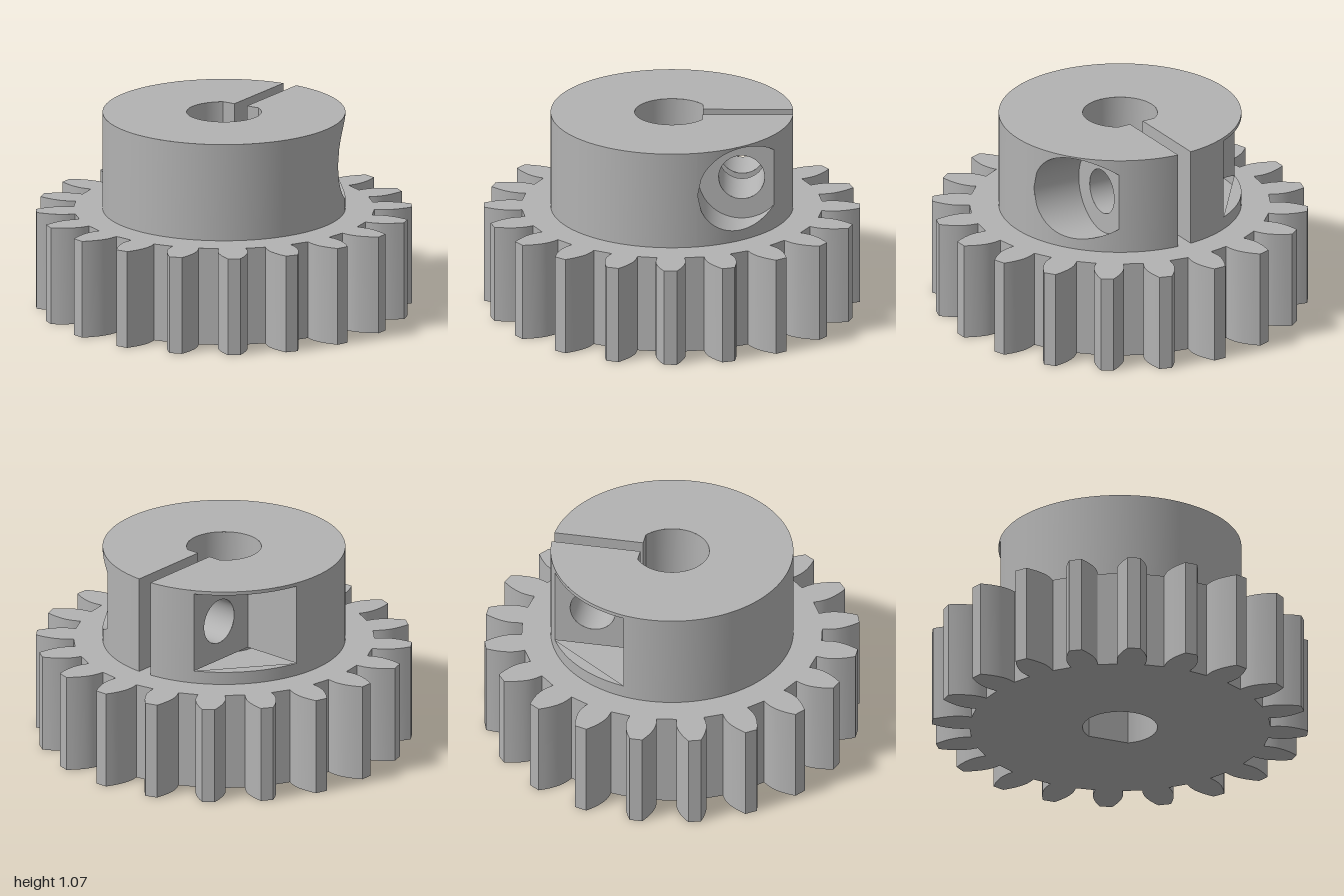
import * as THREE from 'three';
import { toCreasedNormals } from 'three/addons/utils/BufferGeometryUtils.js';

// Main sizes. Local frame: x runs along the clamp slit, z along the screw.
const GEAR_H = 0.535, TOP = 1.07, HUB_R = 0.65, BORE_R = 0.2, FLAT = 0.165;
const SLIT = 0.04, TEETH = 20;
const SCREW_X = 0.376, SCREW_Y = 0.828, SCREW_R = 0.123;
const HEAD_R = 0.233, HEAD_Z = 0.35;
const NUT_X = 0.14, NUT_Z = -0.29, NUT_LOW = 0.605, NUT_HIGH = 1.05;

const V = (x, y, z) => new THREE.Vector3(x, y, z);
const chord = (d) => Math.sqrt(HUB_R * HUB_R - d * d);
const onHub = (a, y) => V(HUB_R * Math.cos(a), y, HUB_R * Math.sin(a));

// Strip of quads between two curves, a(t) and b(t), for t from t0 to t1
function ruled(a, b, t0, t1, n) {
  const pos = [], idx = [];
  for (let i = 0; i <= n; i++) {
    const t = t0 + (t1 - t0) * i / n;
    pos.push(...a(t).toArray(), ...b(t).toArray());
    const k = 2 * i;
    if (i < n) idx.push(k, k + 1, k + 2, k + 2, k + 1, k + 3);
  }
  const g = new THREE.BufferGeometry();
  g.setAttribute('position', new THREE.Float32BufferAttribute(pos, 3));
  g.setIndex(idx);
  g.computeVertexNormals();
  return g;
}

function flip(g) {
  g.index.array.reverse();
  g.computeVertexNormals();
  return g;
}

// Flat face across the screw axis, facing +z, or -z when back is true
function crossFace(shape, z, back) {
  const g = new THREE.ShapeGeometry(shape, 48).translate(0, 0, z);
  return back ? flip(g) : g;
}

// Horizontal face with shape y as depth, facing down, or up when up is true
function levelFace(shape, y, up) {
  const g = new THREE.ShapeGeometry(shape, 96).rotateX(Math.PI / 2).translate(0, y, 0);
  return up ? flip(g) : g;
}

function rect(x0, y0, x1, y1) {
  const s = new THREE.Shape();
  s.moveTo(x0, y0).lineTo(x1, y0).lineTo(x1, y1).lineTo(x0, y1).closePath();
  return s;
}

function drillScrewHole(shape) {
  shape.holes.push(new THREE.Path().absarc(SCREW_X, SCREW_Y, SCREW_R, 0, 2 * Math.PI, true));
  return shape;
}

const flatAngle = Math.acos(FLAT / BORE_R);

function gearGeometry() {
  // Radius and half width along one tooth flank
  const flank = new THREE.SplineCurve([[0.802, 0.0727], [0.84, 0.079], [0.88, 0.079],
    [0.92, 0.071], [0.965, 0.055], [1.007, 0.034]].map((p) => new THREE.Vector2(...p))).getPoints(12);
  const outline = [];
  for (let i = 0; i < TEETH; i++) {
    const a = i * 2 * Math.PI / TEETH;
    const add = (p, s) => outline.push(new THREE.Vector2(p.x, s * p.y).rotateAround(new THREE.Vector2(), a));
    flank.forEach((p) => add(p, -1));
    [...flank].reverse().forEach((p) => add(p, 1));
  }
  const shape = new THREE.Shape(outline);
  const bore = new THREE.Path().absarc(0, 0, BORE_R, flatAngle, 2 * Math.PI - flatAngle, false);
  bore.closePath();
  shape.holes.push(bore);
  const g = new THREE.ExtrudeGeometry(shape, { depth: GEAR_H, bevelEnabled: false, curveSegments: 48 });
  g.rotateX(Math.PI / 2).translate(0, GEAR_H, 0);
  return toCreasedNormals(g, 0.4);
}

export function createModel() {
  const model = new THREE.Group();
  model.name = 'clampGear';
  const body = new THREE.Group();
  body.name = 'gearBody';
  body.rotation.y = Math.PI / 20;
  model.add(body);
  const grey = new THREE.MeshStandardMaterial({ color: 0xb2b2b2, side: THREE.DoubleSide });
  grey.name = 'grey';
  const add = (name, g) => {
    const m = new THREE.Mesh(g, grey);
    m.name = name;
    body.add(m);
  };

  add('toothedWheel', gearGeometry());

  // Outer hub wall, open at the slit, the screw head recess and the nut pocket
  const slitA = Math.asin(SLIT / HUB_R);
  const headX = chord(HEAD_Z);
  const headA = Math.asin(HEAD_Z / HUB_R), headB = Math.acos((SCREW_X - HEAD_R) / HUB_R);
  const nutA = 2 * Math.PI - Math.acos(NUT_X / HUB_R), nutB = 2 * Math.PI + Math.asin(NUT_Z / HUB_R);
  const wall = (name, low, high, a0, a1) => add(name,
    ruled((a) => onHub(a, low(a)), (a) => onHub(a, high(a)), a0, a1, Math.ceil((a1 - a0) * 32)));
  const base = () => GEAR_H, top = () => TOP;
  const headHalf = (a) => Math.sqrt(Math.max(0, HEAD_R ** 2 - (HUB_R * Math.cos(a) - SCREW_X) ** 2));
  wall('hubWall', base, top, slitA, headA);
  wall('hubWall', base, top, headB, nutA);
  wall('hubWall', base, top, nutB, 2 * Math.PI - slitA);
  wall('wallBelowRecess', base, (a) => SCREW_Y - headHalf(a), headA, headB);
  wall('wallAboveRecess', (a) => SCREW_Y + headHalf(a), top, headA, headB);
  wall('wallBelowPocket', base, () => NUT_LOW, nutA, nutB);
  wall('wallAbovePocket', () => NUT_HIGH, top, nutA, nutB);

  // Top of the hub, split from bore to rim
  const ring = new THREE.Shape();
  ring.moveTo(FLAT, SLIT).lineTo(chord(SLIT), SLIT);
  ring.absarc(0, 0, HUB_R, slitA, 2 * Math.PI - slitA, false);
  ring.lineTo(FLAT, -SLIT);
  ring.absarc(0, 0, BORE_R, 2 * Math.PI - flatAngle, flatAngle, true);
  ring.closePath();
  add('hubTop', levelFace(ring, TOP, true));

  // Bore with its flat
  add('boreWall', ruled((a) => V(BORE_R * Math.cos(a), GEAR_H, BORE_R * Math.sin(a)),
    (a) => V(BORE_R * Math.cos(a), TOP, BORE_R * Math.sin(a)), 2 * Math.PI - flatAngle, flatAngle, 64));
  const flatEnd = BORE_R * Math.sin(flatAngle);
  for (const [z0, z1] of [[flatEnd, SLIT], [-SLIT, -flatEnd]])
    add('boreFlat', ruled((z) => V(FLAT, GEAR_H, z), (z) => V(FLAT, TOP, z), z0, z1, 1));

  // Slit sides, pierced by the screw hole
  for (const s of [1, -1])
    add('slitSide', crossFace(drillScrewHole(rect(FLAT, GEAR_H, chord(SLIT), TOP)), s * SLIT, s > 0));

  // Screw hole through both jaws
  const holePoint = (r, z) => (a) => V(SCREW_X + r * Math.cos(a), SCREW_Y + r * Math.sin(a), z);
  for (const [z0, z1] of [[SLIT, HEAD_Z], [NUT_Z, -SLIT]])
    add('screwHole', ruled(holePoint(SCREW_R, z0), holePoint(SCREW_R, z1), 0, 2 * Math.PI, 48));

  // Round recess for the screw head
  const cut = Math.acos((headX - SCREW_X) / HEAD_R);
  add('recessWall', ruled(holePoint(HEAD_R, HEAD_Z), (a) => {
    const p = holePoint(HEAD_R, 0)(a);
    p.z = chord(p.x);
    return p;
  }, cut, 2 * Math.PI - cut, 64));
  const seat = new THREE.Shape();
  seat.absarc(SCREW_X, SCREW_Y, HEAD_R, cut, 2 * Math.PI - cut, false);
  seat.closePath();
  add('recessSeat', crossFace(drillScrewHole(seat), HEAD_Z, false));

  // Square pocket for the nut
  add('pocketSeat', crossFace(drillScrewHole(rect(NUT_X, NUT_LOW, chord(NUT_Z), NUT_HIGH)), NUT_Z, true));
  add('pocketSide', ruled((z) => V(NUT_X, NUT_LOW, z), (z) => V(NUT_X, NUT_HIGH, z), -chord(NUT_X), NUT_Z, 1));
  const pocket = new THREE.Shape();
  pocket.moveTo(NUT_X, NUT_Z);
  pocket.absarc(0, 0, HUB_R, nutA, nutB, false);
  pocket.closePath();
  add('pocketFloor', levelFace(pocket, NUT_LOW, true));
  add('pocketCeiling', levelFace(pocket, NUT_HIGH, false));

  return model;
}
